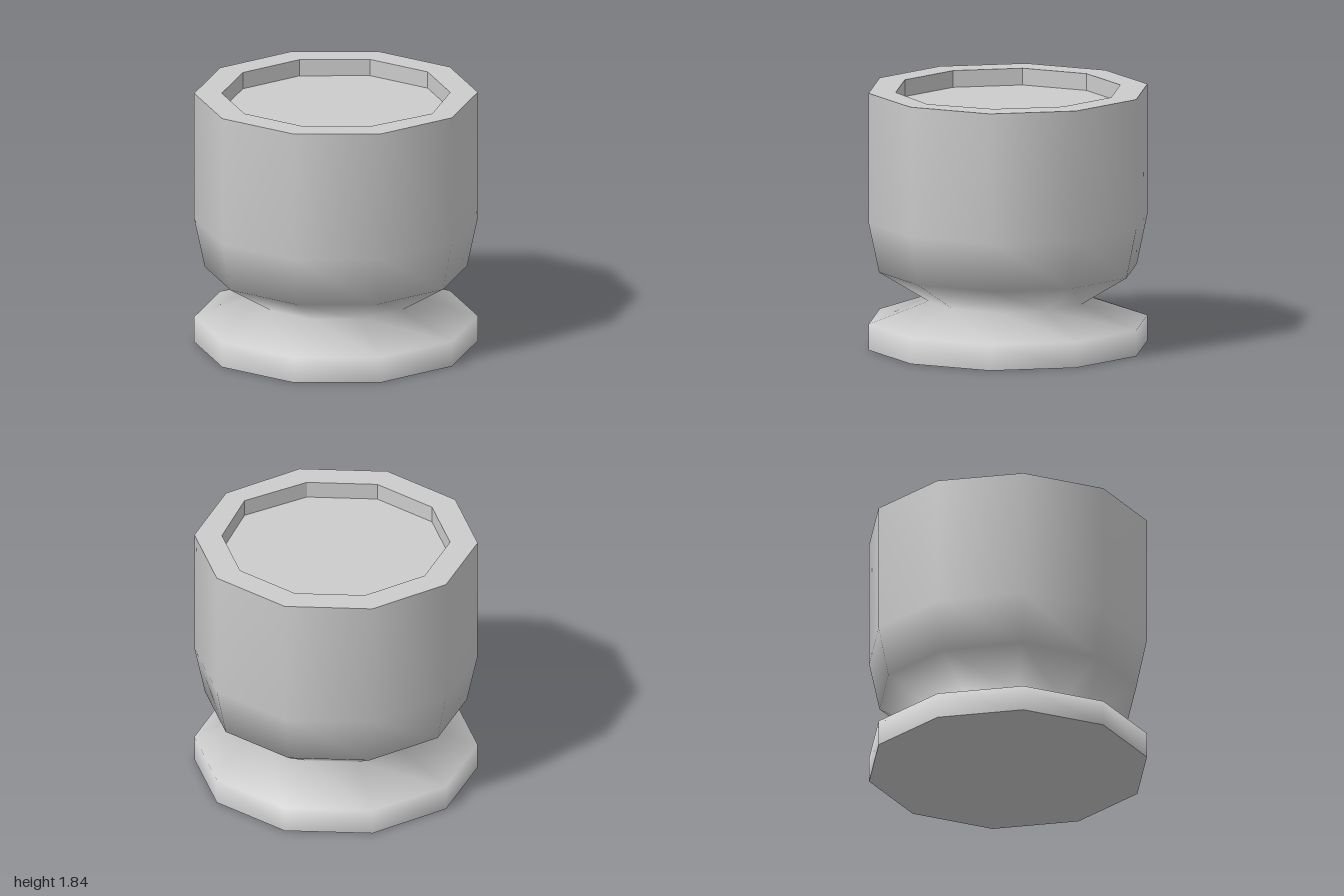
import * as THREE from 'three';

const SIDES = 10;
const HEIGHT = 1.84;
const RECESS = 0.805;   // radius of the recess in the top
const FLOOR = 1.72;     // height of the recess floor

// Ten-sided turned surface from [radius, height] pairs
function turned(name, profile, flatShading) {
  const points = profile.map(([r, y]) => new THREE.Vector2(r, y));
  const material = new THREE.MeshStandardMaterial({ color: 0xcccccc, flatShading });
  const mesh = new THREE.Mesh(new THREE.LatheGeometry(points, SIDES), material);
  mesh.name = name;
  return mesh;
}

export function createModel() {
  const group = new THREE.Group();
  group.name = 'pedestalCup';

  // Smooth outside: foot, pinched neck, bowl
  const body = turned('body', [
    [1, 0], [1, 0.185], [0.57, 0.337], [0.925, 0.555], [1, 0.91], [1, HEIGHT],
  ], false);

  // Flat underside
  const base = turned('base', [[0, 0], [1, 0]], true);

  // Flat rim and the faceted wall of the shallow recess
  const rim = turned('rim', [[1, HEIGHT], [RECESS, HEIGHT], [RECESS, FLOOR]], true);
  const contents = turned('recessFloor', [[RECESS, FLOOR], [0, FLOOR]], true);

  // The recess reaches slightly further at its front corner
  for (const { geometry } of [rim, contents]) {
    const pos = geometry.attributes.position;
    for (let i = 0; i < pos.count; i++) {
      if (Math.abs(pos.getX(i)) < 0.01 && Math.abs(pos.getZ(i) - RECESS) < 0.01) pos.setZ(i, 0.832);
    }
  }

  group.add(body, base, rim, contents);
  return group;
}
